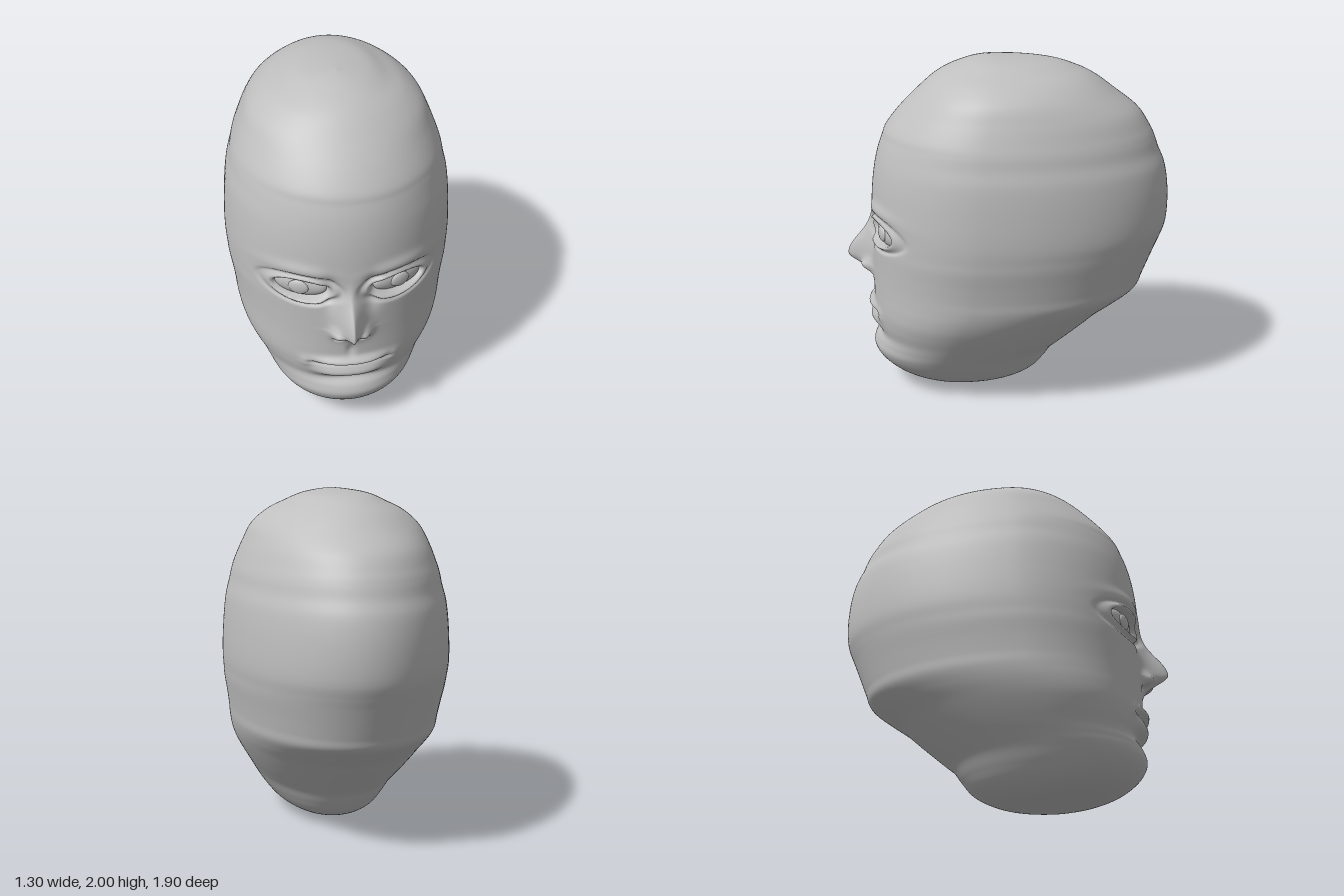
import * as THREE from 'three';

// Head cross-sections from chin to crown: [y, half width, front z, back z]
const ROWS = [
  [0, 0, 0.14, 0.14], [0.02, 0.15, 0.36, 0], [0.05, 0.24, 0.54, -0.1], [0.1, 0.315, 0.67, -0.19],
  [0.17, 0.375, 0.76, -0.25], [0.24, 0.42, 0.8, -0.3], [0.3, 0.455, 0.79, -0.37], [0.36, 0.49, 0.775, -0.44],
  [0.43, 0.53, 0.785, -0.52], [0.5, 0.565, 0.79, -0.6], [0.57, 0.59, 0.79, -0.7], [0.64, 0.605, 0.79, -0.79],
  [0.71, 0.612, 0.79, -0.82], [0.8, 0.625, 0.79, -0.855], [0.89, 0.64, 0.79, -0.89], [0.95, 0.645, 0.79, -0.915],
  [1.02, 0.65, 0.79, -0.94], [1.1, 0.65, 0.79, -0.95], [1.2, 0.645, 0.785, -0.95], [1.3, 0.637, 0.775, -0.94],
  [1.39, 0.625, 0.76, -0.92], [1.47, 0.605, 0.74, -0.885], [1.54, 0.59, 0.715, -0.86], [1.6, 0.57, 0.69, -0.83],
  [1.7, 0.53, 0.61, -0.76], [1.8, 0.48, 0.51, -0.63], [1.88, 0.39, 0.42, -0.52], [1.93, 0.29, 0.34, -0.42],
  [1.97, 0.2, 0.24, -0.29], [1.99, 0.1, 0.17, -0.1], [2, 0, 0.1, 0.1],
];
const STEPS = 9;
const SIDES = 200;
const EYE = { x: 0.265, y: 1.01 };

const bump = (v, centre, size) => Math.exp(-(((v - centre) / size) ** 2));
const smooth = THREE.MathUtils.smoothstep;

// Smooth blend through the cross-sections
function sectionAt(t) {
  const i = Math.min(Math.floor(t), ROWS.length - 2);
  const f = t - i;
  const row = (k) => ROWS[THREE.MathUtils.clamp(k, 0, ROWS.length - 1)];
  const [a, b, c, d] = [row(i - 1), row(i), row(i + 1), row(i + 2)];
  return b.map((p, k) => p + 0.5 * f * (c[k] - a[k]
    + f * (2 * a[k] - 5 * p + 4 * c[k] - d[k] + f * (3 * (p - c[k]) + d[k] - a[k]))));
}

// Forward relief of the face at height y, mirrored in x
function faceRelief(x, y) {
  const ax = Math.abs(x);
  let z = 0;

  // Nose ridge, wings, nostrils and the hollows beside the bridge
  const noseWidth = y > 0.75 ? 0.055 : 0.062;
  z += 0.157 * bump(y, 0.79, y > 0.79 ? 0.16 : 0.08) * Math.exp(-((ax / noseWidth) ** 1.4));
  z += 0.045 * bump(ax, 0.08, 0.035) * bump(y, 0.735, 0.04);
  z -= 0.05 * bump(ax, 0.07, 0.02) * bump(y, 0.69, 0.013);
  z -= 0.035 * bump(ax, 0.115, 0.045) * bump(y, 1.0, 0.1);

  // Brow, socket, lid rim and crease
  z += 0.016 * bump(ax, 0.28, 0.17) * bump(y, 1.145 - 0.5 * (ax - 0.26) ** 2, 0.035);
  const e = Math.hypot((ax - EYE.x) / 0.155, (y - EYE.y) / 0.07);
  z -= 0.06 * (1 - smooth(e, 0.78, 1.02));
  z += 0.012 * bump(e, 1.12, 0.11);
  z -= 0.014 * bump(e, 1.4, 0.14);

  // Lips, mouth line, corners, groove above the chin and groove under the nose
  const lipSpan = Math.exp(-((ax / 0.2) ** 4));
  z += lipSpan * (0.034 * bump(y, 0.513, 0.024) + 0.03 * bump(y, 0.425, 0.04));
  z -= 0.016 * Math.exp(-((ax / 0.24) ** 6)) * bump(y, 0.485, 0.011);
  z += 0.014 * bump(ax, 0.255, 0.03) * bump(y, 0.48, 0.035);
  z -= 0.03 * bump(ax, 0, 0.19) * bump(y, 0.35, 0.035);
  z -= 0.012 * bump(ax, 0, 0.025) * bump(y, 0.595, 0.04);
  return z;
}

function headGeometry() {
  const positions = [];
  const index = [];
  const count = (ROWS.length - 1) * STEPS;
  for (let i = 0; i <= count; i++) {
    const [y, w, front, back] = sectionAt(i / STEPS);
    const mid = back + (front - back) * 0.6;
    for (let j = 0; j < SIDES; j++) {
      // Sides are packed more closely towards the face
      const u = (j / SIDES) * Math.PI * 2;
      const angle = u - 0.6 * Math.sin(u);
      const c = Math.cos(angle);
      const x = w * Math.sin(angle);
      const z = mid + c * (c > 0 ? front - mid : mid - back);
      positions.push(x, y, z + (c > 0 ? smooth(c, 0.2, 0.6) * faceRelief(x, y) : 0));
      if (i < count) {
        const next = (j + 1) % SIDES;
        const a = i * SIDES + j;
        const b = i * SIDES + next;
        index.push(a, b, b + SIDES, a, b + SIDES, a + SIDES);
      }
    }
  }
  const geometry = new THREE.BufferGeometry();
  geometry.setAttribute('position', new THREE.Float32BufferAttribute(positions, 3));
  geometry.setIndex(index);
  geometry.computeVertexNormals();
  return geometry;
}

export function createModel() {
  const grey = new THREE.MeshStandardMaterial({ color: 0xbfbfbf });
  grey.name = 'plain grey';

  const model = new THREE.Group();
  model.name = 'mannequinHead';
  const head = new THREE.Mesh(headGeometry(), grey);
  head.name = 'head';
  model.add(head);

  // Eyes turned outwards to follow the curve of the face
  const ball = new THREE.SphereGeometry(1, 40, 24);
  for (const side of [1, -1]) {
    const eye = new THREE.Group();
    eye.name = side > 0 ? 'leftEye' : 'rightEye';
    eye.position.set(side * EYE.x, EYE.y, 0.665);
    eye.rotation.y = side * 0.42;

    const eyeball = new THREE.Mesh(ball, grey);
    eyeball.name = 'eyeball';
    eyeball.scale.set(0.15, 0.07, 0.04);

    const iris = new THREE.Mesh(ball, grey);
    iris.name = 'iris';
    iris.scale.set(0.058, 0.045, 0.018);
    iris.position.z = 0.036;

    eye.add(eyeball, iris);
    model.add(eye);
  }
  return model;
}
